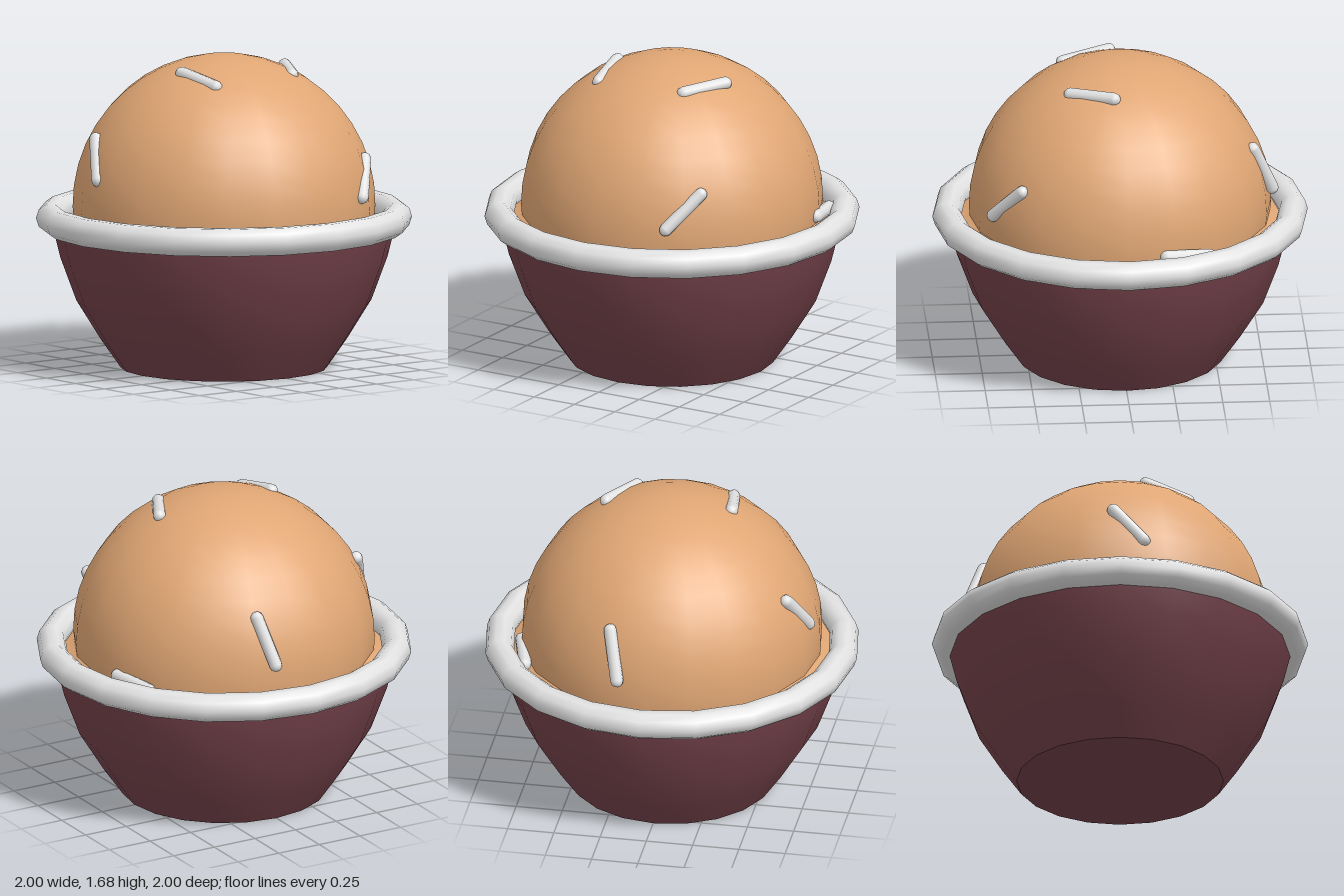
import * as THREE from 'three';

const SIDES = 20;

function material(name, color) {
  const m = new THREE.MeshStandardMaterial({ color });
  m.name = name;
  return m;
}

export function createModel() {
  const group = new THREE.Group();
  const bowlMat = material('maroon', 0x74424a);
  const creamMat = material('caramel', 0xe0a674);
  const whiteMat = material('white', 0xe2e2e2);

  function add(name, geometry, mat) {
    const mesh = new THREE.Mesh(geometry, mat);
    mesh.name = name;
    group.add(mesh);
    return mesh;
  }
  const lathe = (points, sides) =>
    new THREE.LatheGeometry(points.map(([r, y]) => new THREE.Vector2(r, y)), sides);

  // Bowl wall, flaring upwards, and its flat base
  add('bowl', lathe([[0.55, 0], [0.655, 0.15], [0.785, 0.36], [0.87, 0.59], [0.905, 0.73], [0.915, 0.8]], SIDES), bowlMat);
  add('bowlBase', new THREE.CircleGeometry(0.55, SIDES).rotateX(Math.PI / 2), bowlMat);

  // Thick rounded rim
  const rim = add('rim', new THREE.TorusGeometry(0.923, 0.077, 10, SIDES).rotateX(Math.PI / 2), whiteMat);
  rim.position.y = 0.803;

  // Filling under the scoop, reaching the rim
  add('filling', lathe([[0.9, 0.77], [0.83, 0.785], [0.78, 0.82]], SIDES), creamMat);

  // Domed scoop
  const scoop = add('scoop', new THREE.SphereGeometry(0.805, SIDES, 12, 0, Math.PI * 2, 0, Math.PI * 0.55), creamMat);
  scoop.position.y = 0.875;

  // Sprinkles, each given by its two end centres
  const sprinkles = [
    [[0.385, 0.955, 0.7], [0.515, 1.135, 0.555]],
    [[0.365, 1.595, 0.055], [0.24, 1.58, 0.28]],
    [[-0.315, 1.61, 0.04], [-0.28, 1.56, 0.29]],
    [[-0.665, 1.255, -0.255], [-0.76, 1.055, -0.115]],
    [[0.715, 0.83, -0.43], [0.775, 0.85, -0.2]],
    [[0.205, 1.23, -0.695], [0.15, 0.985, -0.8]],
  ];
  const up = new THREE.Vector3(0, 1, 0);
  for (const ends of sprinkles) {
    const [a, b] = ends.map((p) => new THREE.Vector3(...p));
    const dir = b.clone().sub(a);
    const mesh = add('sprinkle', new THREE.CapsuleGeometry(0.035, dir.length(), 3, 10), whiteMat);
    mesh.position.copy(a).add(b).multiplyScalar(0.5);
    mesh.quaternion.setFromUnitVectors(up, dir.normalize());
  }
  return group;
}
